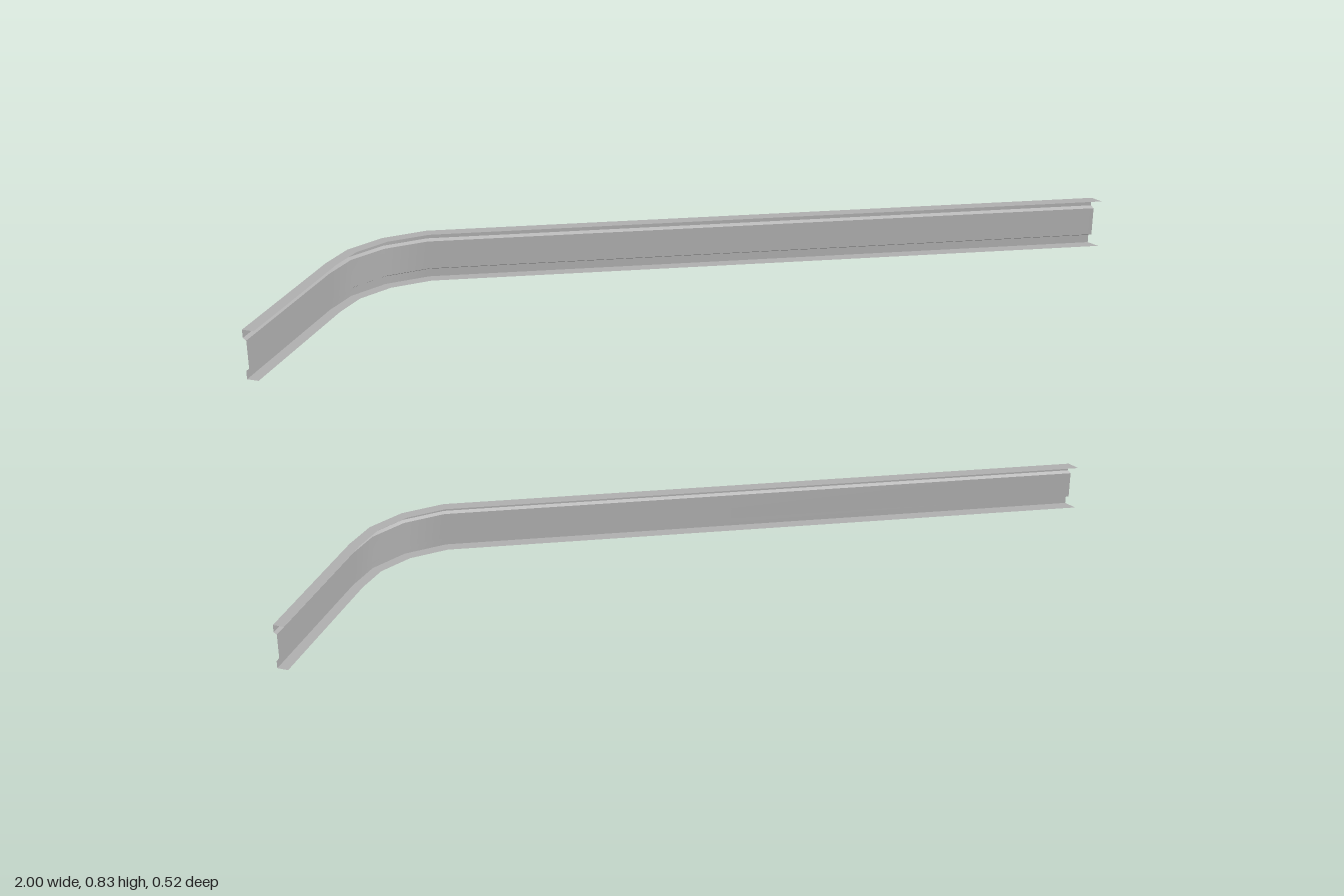
import * as THREE from 'three';

// Plan path of the rail's outer face (x, z), from the straight end round the bend
const PATH = [[0.979, -0.2615], [-0.607, -0.2615], [-0.709, -0.229], [-0.787, -0.169], [-0.834, -0.094], [-1, 0.2505]];

// Sheet cross-section (inward depth, height): flange, lip, step, web, step, lip, flange
const PROFILE = [[0.027, 0], [0, 0], [0, 0.019], [0.0075, 0.023], [0.0075, 0.09], [0, 0.095], [0, 0.114], [0.027, 0.114]];

// Inward offset direction at each path point, mitred at the bends
function inwardDirections() {
  const normals = [];
  for (let i = 0; i < PATH.length - 1; i++) {
    const dx = PATH[i + 1][0] - PATH[i][0], dz = PATH[i + 1][1] - PATH[i][1];
    const len = Math.hypot(dx, dz);
    normals.push(new THREE.Vector2(dz / len, -dx / len));
  }
  return PATH.map((p, i) => {
    if (i === 0) return new THREE.Vector2(0.66, 1); // slanted end cut
    if (i === PATH.length - 1) return normals[i - 1].clone();
    const m = normals[i - 1].clone().add(normals[i]).normalize();
    return m.divideScalar(m.dot(normals[i]));
  });
}

// One strip per profile segment: smooth along the path, sharp across the section
function stripGeometry(a, b, dirs) {
  const pos = [], index = [];
  PATH.forEach(([x, z], i) => {
    for (const [d, y] of [a, b]) pos.push(x + dirs[i].x * d, y, z + dirs[i].y * d);
    if (i > 0) {
      const k = 2 * i;
      index.push(k - 2, k, k - 1, k - 1, k, k + 1);
    }
  });
  const g = new THREE.BufferGeometry();
  g.setAttribute('position', new THREE.Float32BufferAttribute(pos, 3));
  g.setIndex(index);
  g.computeVertexNormals();
  return g;
}

export function createModel() {
  const model = new THREE.Group();
  model.name = 'bentRails';
  const steel = new THREE.MeshStandardMaterial({ color: 0xaeaeae, side: THREE.DoubleSide });
  steel.name = 'grey steel';

  const names = ['bottomFlange', 'lowerLip', 'lowerStep', 'web', 'upperStep', 'upperLip', 'topFlange'];
  const dirs = inwardDirections();
  const strips = names.map((n, i) => stripGeometry(PROFILE[i], PROFILE[i + 1], dirs));

  // Two identical rails, one above the other
  for (const [railName, y] of [['lowerRail', 0], ['upperRail', 0.72]]) {
    const rail = new THREE.Group();
    rail.name = railName;
    rail.position.y = y;
    strips.forEach((g, i) => {
      const mesh = new THREE.Mesh(g, steel);
      mesh.name = names[i];
      rail.add(mesh);
    });
    model.add(rail);
  }
  return model;
}
